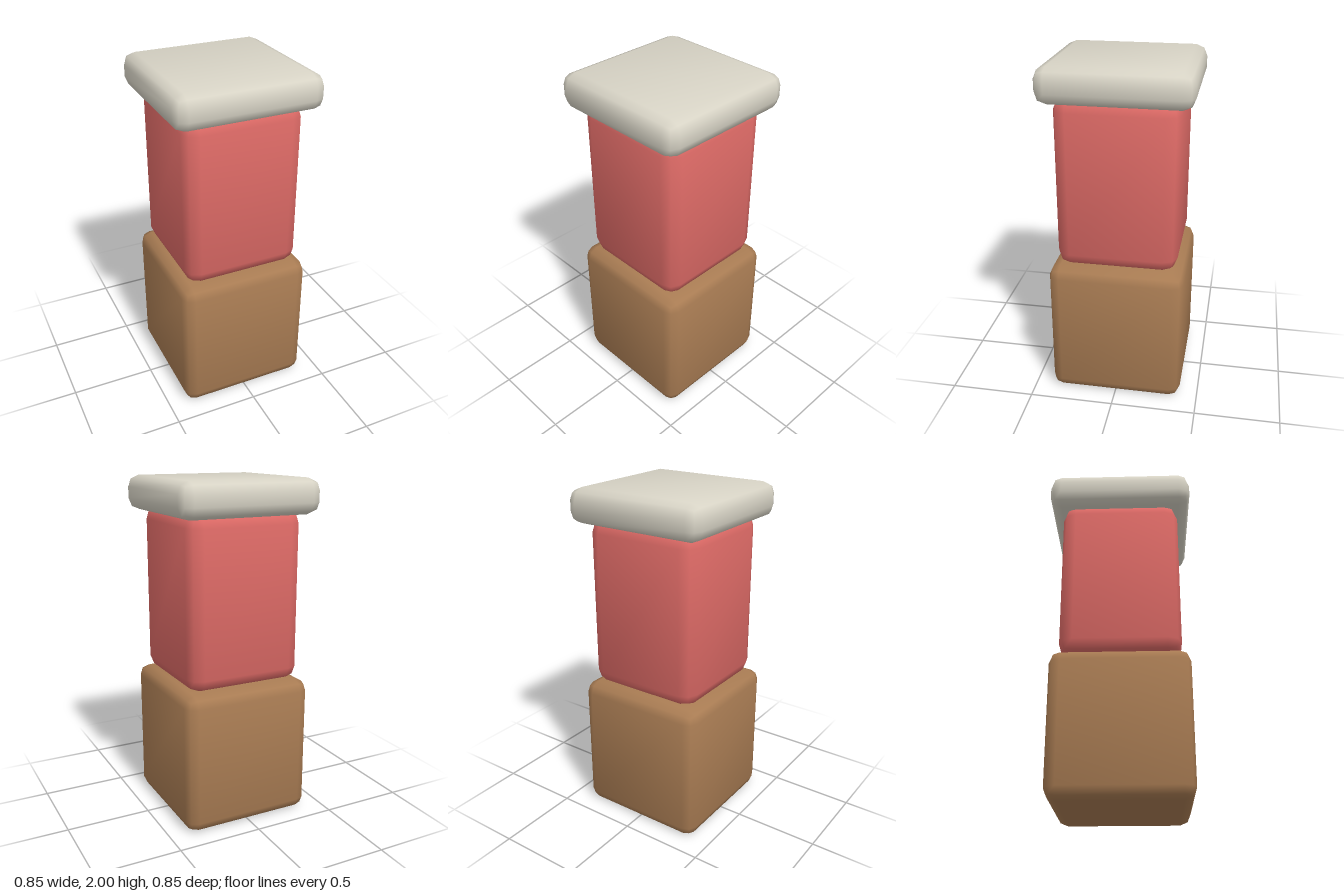
import * as THREE from 'three';
import { RoundedBoxGeometry } from 'three/addons/geometries/RoundedBoxGeometry.js';

const material = (name, color) => {
  const m = new THREE.MeshStandardMaterial({ color });
  m.name = name;
  return m;
};

// Square block with a two-step bevel, standing on y = bottom
function block(name, width, bottom, top, radius, mat) {
  const geometry = new RoundedBoxGeometry(width, top - bottom, width, 1, radius);

  // Lean the normals outwards so each face is softly pillowed
  const p = geometry.attributes.position;
  const n = geometry.attributes.normal;
  const v = new THREE.Vector3();
  for (let i = 0; i < p.count; i++) {
    v.fromBufferAttribute(n, i);
    for (let axis = 0; axis < 3; axis++) {
      if (Math.abs(v.getComponent(axis)) < 0.01) {
        v.setComponent(axis, 0.18 * Math.sign(p.getComponent(i, axis)));
      }
    }
    v.normalize();
    n.setXYZ(i, v.x, v.y, v.z);
  }

  const mesh = new THREE.Mesh(geometry, mat);
  mesh.name = name;
  mesh.position.y = (bottom + top) / 2;
  return mesh;
}

export function createModel() {
  const model = new THREE.Group();
  model.name = 'blockStack';
  model.add(
    block('base', 0.79, 0, 0.83, 0.065, material('brown', 0xa97c53)),
    block('body', 0.7, 0.83, 1.83, 0.08, material('red', 0xdd6a66)),
    block('topSlab', 0.852, 1.8, 2, 0.067, material('cream', 0xd8d4c6)),
  );
  return model;
}
